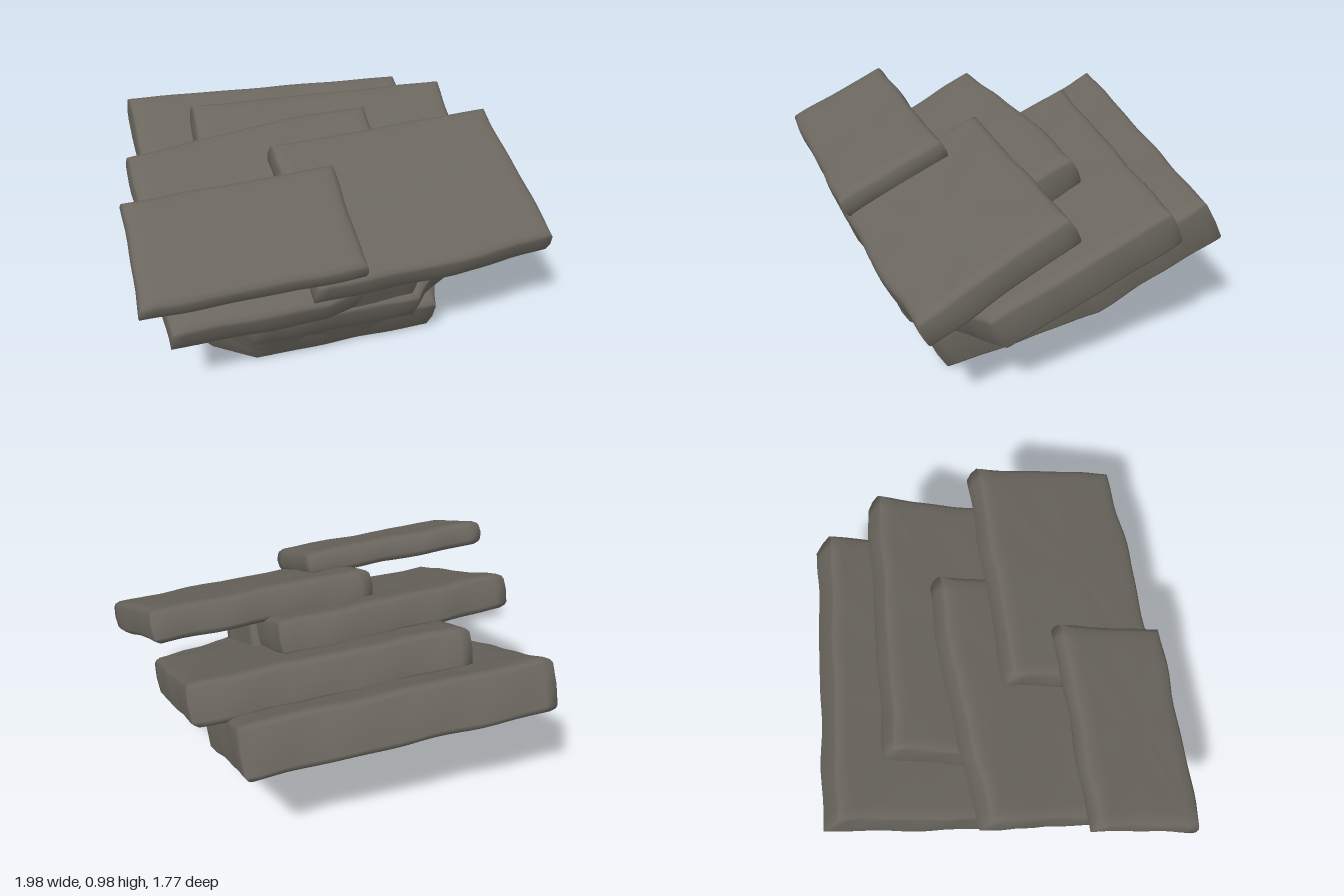
import * as THREE from 'three';

const rock = new THREE.MeshStandardMaterial({ color: 0x6b675f, roughness: 1 });

// Smooth, repeatable unevenness
const wobble = (x, y, z, s) =>
  (Math.sin(x * 9 + s * 2.1 + y * 5) + Math.sin(z * 11 + s * 1.3 + x * 4) +
   0.7 * Math.sin(x * 23 + z * 19 + y * 13 + s)) / 2.7;

// One worn slab. Outline: counterclockwise [x, up-slope] corners, between heights n0 and n1
function slab(name, outline, n0, n1, seed) {
  const pts = [];
  outline.forEach(([x, u], i) => {
    const [x2, u2] = outline[(i + 1) % outline.length];
    const steps = Math.max(2, Math.round(Math.hypot(x2 - x, u2 - u) / 0.06));
    for (let k = 0; k < steps; k++) pts.push([x + (x2 - x) * k / steps, u + (u2 - u) * k / steps]);
  });
  const box = new THREE.Box2().setFromPoints(pts.map(p => new THREE.Vector2(...p)));
  const c = box.getCenter(new THREE.Vector2());
  const half = box.getSize(new THREE.Vector2()).multiplyScalar(0.5);
  const b = 0.03, mid = (n0 + n1) / 2;
  // Rings as [inset from the edge, height, share of full radius]
  const rings = [
    [0, n0, 0], [0, n0, 0.35], [0, n0, 0.7], [0.07, n0, 1], [0.03, n0 + 0.003, 1],
    [0.009, n0 + b * 0.5, 1], [0, n0 + b, 1], [-0.005, mid, 1], [0, n1 - b, 1],
    [0.009, n1 - b * 0.5, 1], [0.03, n1 - 0.003, 1], [0.07, n1, 1],
    [0, n1, 0.7], [0, n1, 0.35], [0, n1, 0]
  ];
  const pos = [], idx = [], m = pts.length;
  rings.forEach(([inset, n, share], j) => {
    for (const [px, pu] of pts) {
      const x = c.x + (px - c.x) * share * (1 - inset / half.x);
      const u = c.y + (pu - c.y) * share * (1 - inset / half.y);
      const w = wobble(x, n, u, seed), v = wobble(u, n, x, seed + 3);
      pos.push(x + w * 0.009, n + v * 0.006, -u + v * 0.009);
    }
    if (!j) return;
    for (let i = 0; i < m; i++) {
      const a = (j - 1) * m + i, d = (j - 1) * m + (i + 1) % m;
      if (j > 1) idx.push(a, d, d + m);
      if (j === 1 || j < rings.length - 1) idx.push(a, d + m, a + m);
    }
  });
  const geo = new THREE.BufferGeometry();
  geo.setAttribute('position', new THREE.Float32BufferAttribute(pos, 3));
  geo.setIndex(idx);
  geo.computeVertexNormals();
  // The two centre points lie on flat faces
  const nor = geo.attributes.normal;
  for (let i = 0; i < m; i++) {
    nor.setXYZ(i, 0, -1, 0);
    nor.setXYZ((rings.length - 1) * m + i, 0, 1, 0);
  }
  const mesh = new THREE.Mesh(geo, rock);
  mesh.name = name;
  return mesh;
}

export function createModel() {
  const model = new THREE.Group();
  model.name = 'layeredRock';
  // All beds lie in one plane that climbs towards the back
  const beds = new THREE.Group();
  beds.name = 'tiltedBeds';
  beds.rotation.x = 0.4227;
  model.add(beds);

  beds.add(
    // Wide base with worn front corners
    slab('baseSlab', [[-0.76, -0.18], [-0.6, -0.36], [-0.4, -0.47], [0.5, -0.48], [0.61, -0.16],
      [0.75, 0.27], [0.76, 0.95], [-0.73, 1.07], [-0.75, 0.5]], 0.205, 0.465, 1),
    // Second bed, set to the left side
    slab('secondSlab', [[-0.56, -0.4], [-0.45, -0.5], [0.36, -0.51], [0.46, -0.42], [0.87, -0.2],
      [0.9, 0.74], [-0.45, 0.82]], 0.44, 0.65, 2),
    // Third bed, set to the right side
    slab('thirdSlab', [[-0.86, -0.52], [-0.12, -0.53], [0.36, -0.42], [0.38, 0.54],
      [-0.06, 0.54], [-0.86, 0.46]], 0.625, 0.81, 3),
    // Fill that merges the front faces of the lower beds
    slab('frontFill', [[-0.55, -0.38], [-0.4, -0.48], [0.32, -0.48], [0.42, -0.36],
      [0.4, 0.1], [-0.5, 0.1]], 0.3, 0.8, 4),
    // Two overhanging top beds
    slab('upperLeftSlab', [[-0.2, -0.51], [0.5, -0.51], [0.99, -0.47], [0.93, 0.31], [-0.2, 0.29]],
      0.785, 0.955, 5),
    slab('topRightSlab', [[-0.99, -0.495], [0.03, -0.5], [0.03, 0.06], [-0.96, 0.05]],
      0.935, 1.065, 6)
  );
  return model;
}
